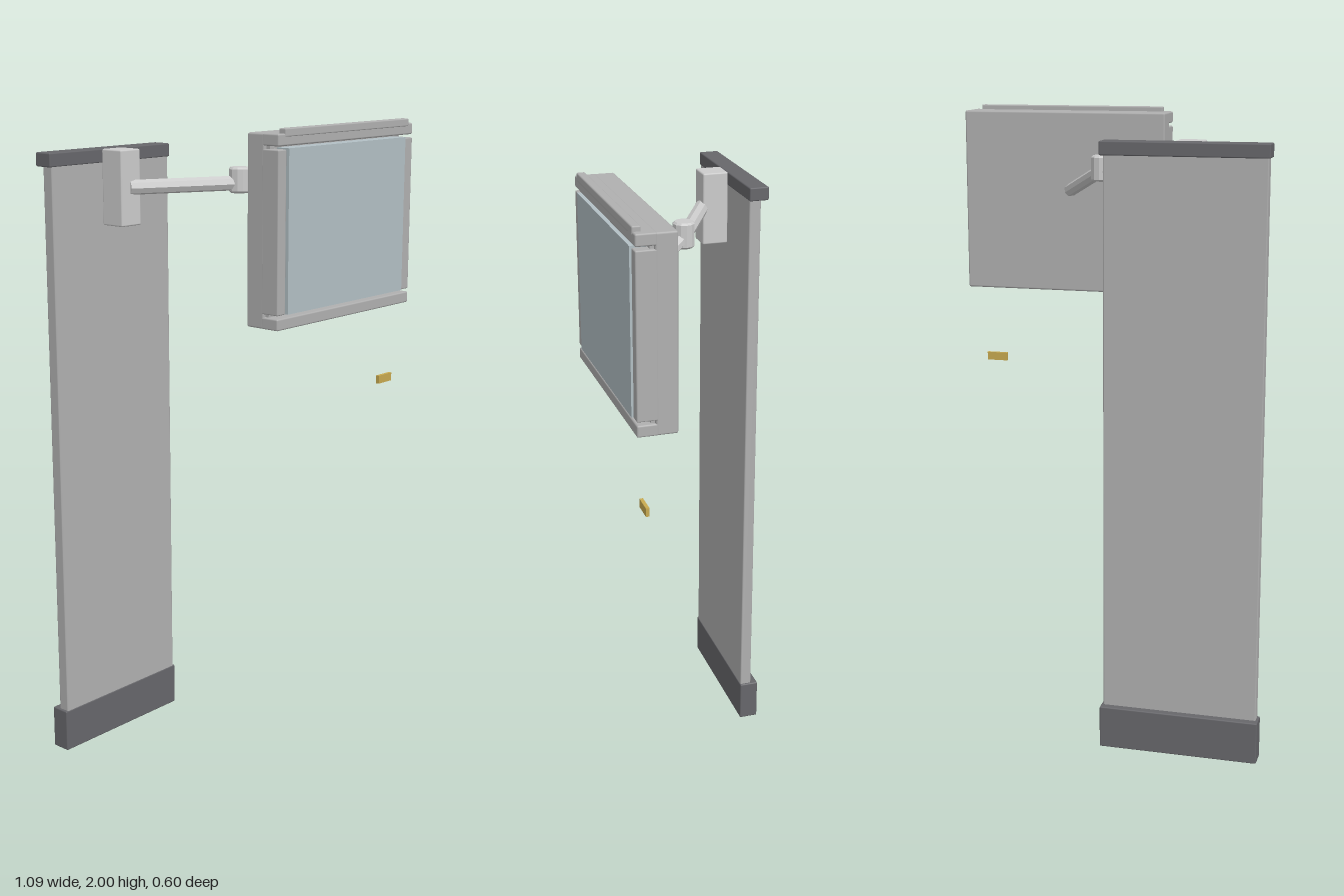
import * as THREE from 'three';
import { RoundedBoxGeometry } from 'three/addons/geometries/RoundedBoxGeometry.js';

const material = (color) => new THREE.MeshStandardMaterial({ color });

export function createModel() {
  const model = new THREE.Group();
  model.name = 'wallScreen';
  const light = material(0xcccccc);
  const grey = material(0xb0b0b0);
  const dark = material(0x67676b);
  const glass = material(0xb3c0c5);
  const brass = material(0xc8aa50);

  const add = (name, geometry, mat, parent = model) => {
    const mesh = new THREE.Mesh(geometry, mat);
    mesh.name = name;
    parent.add(mesh);
    return mesh;
  };

  // Softly bevelled block given by its min and max on each axis
  const block = (name, [x0, x1], [y0, y1], [z0, z1], mat, bevel = 0.004, parent = model) => {
    const size = [x1 - x0, y1 - y0, z1 - z0];
    const geometry = bevel ? new RoundedBoxGeometry(...size, 1, bevel) : new THREE.BoxGeometry(...size);
    const mesh = add(name, geometry, mat, parent);
    mesh.position.set((x0 + x1) / 2, (y0 + y1) / 2, (z0 + z1) / 2);
    return mesh;
  };

  // Faceted rod between two points
  const rod = (name, from, to, radius) => {
    const a = new THREE.Vector3(...from);
    const b = new THREE.Vector3(...to);
    const dir = b.clone().sub(a);
    const mat = light.clone();
    mat.flatShading = true;
    const mesh = add(name, new THREE.CylinderGeometry(radius, radius, dir.length(), 8).rotateY(Math.PI / 8), mat);
    mesh.position.copy(a).add(b).multiplyScalar(0.5);
    mesh.quaternion.setFromUnitVectors(new THREE.Vector3(0, 1, 0), dir.normalize());
  };

  // Upright slab with dark base and cap
  block('panel', [-0.54, -0.045], [0.13, 1.89], [-0.275, -0.237], grey);
  block('panelBase', [-0.548, -0.038], [0, 0.137], [-0.298, -0.235], dark);
  block('panelCap', [-0.548, -0.038], [1.885, 1.927], [-0.298, -0.235], dark);

  // Folding arm
  block('wallBracket', [-0.335, -0.252], [1.695, 1.927], [-0.237, -0.153], light, 0.005);
  rod('rearArm', [-0.292, 1.812, -0.163], [0.032, 1.812, 0], 0.023);
  rod('frontArm', [0.032, 1.815, 0], [0.188, 1.732, 0.18], 0.021);
  const r = 0.034;
  const profile = [[0, 1.782], [r - 0.006, 1.782], [r, 1.788], [r, 1.856], [r - 0.006, 1.862], [0, 1.862]];
  const jointMaterial = light.clone();
  jointMaterial.flatShading = true;
  add('elbowJoint', new THREE.LatheGeometry(profile.map((p) => new THREE.Vector2(...p)), 12), jointMaterial)
    .position.set(0.032, 0, 0);

  // Screen housing: solid back, front frame split by two horizontal grooves
  const screen = new THREE.Group();
  screen.name = 'screen';
  model.add(screen);
  const wide = [-0.13, 0.545];
  const front = [0.23, 0.294];
  block('housingBack', wide, [1.4, 1.985], [0.172, 0.238], grey, 0.006, screen);
  block('bottomRail', wide, [1.4, 1.436], front, grey, 0.005, screen);
  block('topRail', wide, [1.949, 1.985], front, grey, 0.005, screen);
  block('housingCore', [-0.118, 0.533], [1.41, 1.975], [0.18, 0.25], grey, 0, screen);
  for (const [name, x] of [['rightStile', [-0.13, -0.092]], ['leftStile', [0.507, 0.545]]]) {
    block(name, x, [1.446, 1.939], front, grey, 0.004, screen);
  }
  block('topLip', [-0.1, 0.52], [1.975, 2], [0.269, 0.296], grey, 0.004, screen);
  block('display', [-0.086, 0.501], [1.446, 1.942], [0.235, 0.298], glass, 0, screen);

  // Small loose brass tag
  block('tag', [0.44, 0.51], [1.134, 1.161], [0.25, 0.261], brass, 0);

  return model;
}
